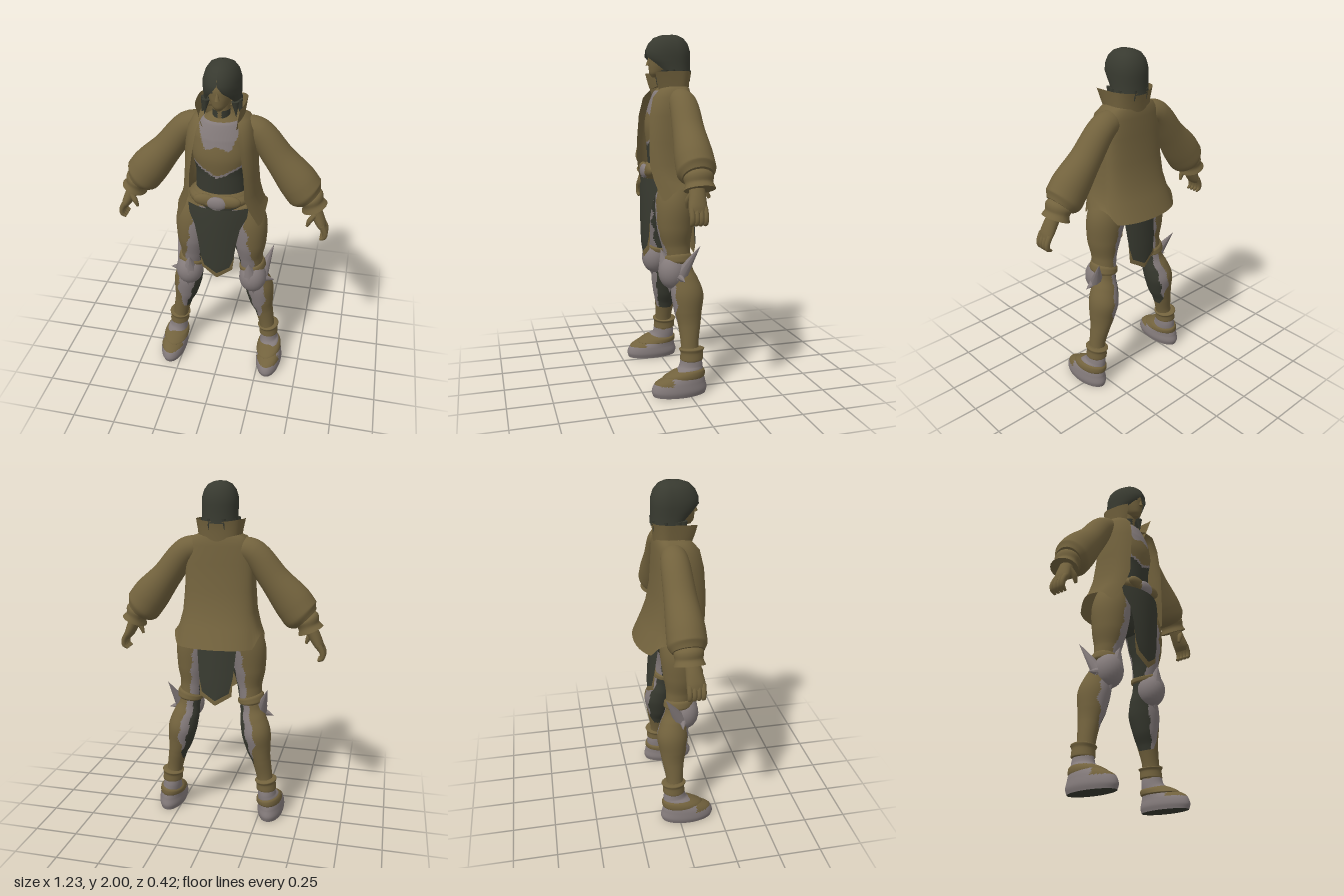
import * as THREE from 'three';

const mat = (name, color, side = THREE.FrontSide) =>
  Object.assign(new THREE.MeshStandardMaterial({ color, side }), { name });

export function createModel() {
  const root = new THREE.Group();
  const brown = mat('olive brown', 0x72623d, THREE.DoubleSide);
  const dark = mat('charcoal', 0x383a30, THREE.DoubleSide);
  const grey = mat('warm grey', 0x847b7b);

  const add = (name, geo, material, parent = root) => {
    const m = new THREE.Mesh(geo, material);
    m.name = name;
    parent.add(m);
    return m;
  };

  // Mesh from a point list and faces sorted by material
  const build = (name, points, faces, parent) => {
    const geo = new THREE.BufferGeometry().setFromPoints(points);
    const mats = [...new Set(faces.map(f => f.m))], index = [];
    mats.forEach((m, k) => {
      const start = index.length;
      faces.forEach(f => { if (f.m === m) index.push(...f.i); });
      geo.addGroup(start, index.length - start, k);
    });
    geo.setIndex(index);
    geo.computeVertexNormals();
    return add(name, geo, mats.length > 1 ? mats : mats[0], parent);
  };

  // Smooth limb through sections [x, y, z, radius across, radius in z];
  // paint(point, unit direction from the axis) may pick a material per face
  const sweep = (name, sections, material, { n = 20, steps = 4, paint, parent, ends = [material, material] } = {}) => {
    const path = new THREE.CatmullRomCurve3(sections.map(s => new THREE.Vector3(s[0], s[1], s[2])));
    const radii = new THREE.CatmullRomCurve3(sections.map(s => new THREE.Vector3(s[3], s[4], 0)));
    const rows = (sections.length - 1) * steps, Z = new THREE.Vector3(0, 0, 1);
    const pts = [], faces = [], centres = [];
    for (let j = 0; j <= rows; j++) {
      const c = path.getPoint(j / rows), r = radii.getPoint(j / rows);
      const U = path.getTangent(j / rows).cross(Z).normalize();
      centres.push(c);
      for (let i = 0; i < n; i++) {
        const a = i / n * Math.PI * 2;
        pts.push(c.clone().addScaledVector(U, Math.cos(a) * Math.max(r.x, 0.001))
          .addScaledVector(Z, Math.sin(a) * Math.max(r.y, 0.001)));
      }
    }
    for (let j = 0; j < rows; j++) for (let i = 0; i < n; i++) {
      const k = (i + 1) % n, a = j * n + i, b = a + n, c = j * n + k, d = c + n;
      for (const t of [[a, b, c], [c, b, d]]) {
        const p = pts[t[0]].clone().add(pts[t[1]]).add(pts[t[2]]).divideScalar(3);
        const dir = p.clone().sub(centres[j]).setY(0).normalize();
        faces.push({ i: t, m: paint ? paint(p, dir) : material });
      }
    }
    [0, rows].forEach((j, e) => {
      const hub = pts.length + n;
      const ring = pts.slice(j * n, j * n + n).map(p => p.clone());
      pts.push(...ring, centres[j].clone());
      for (let i = 0; i < n; i++) {
        const a = hub - n + i, b = hub - n + (i + 1) % n;
        faces.push({ i: e ? [hub, b, a] : [hub, a, b], m: ends[e] });
      }
    });
    return build(name, pts, faces, parent);
  };

  // Sheet of rows of points
  const sheet = (name, rows, material) => {
    const w = rows[0].length, faces = [];
    for (let j = 1; j < rows.length; j++) for (let i = 1; i < w; i++) {
      const d = j * w + i, b = d - w;
      faces.push({ i: [b - 1, b, d - 1], m: material }, { i: [b, d, d - 1], m: material });
    }
    return build(name, rows.flat(), faces);
  };

  // Sheet wrapped round the back and open in front;
  // rows [y, half width, front depth, back depth, half opening, lift(angle)]
  const shell = (name, rows, material, power, n = 40) =>
    sheet(name, rows.map(([y, w, front, back, open, lift]) => {
      const edge = Math.PI - Math.asin(Math.min(1, open / w));
      return Array.from({ length: n + 1 }, (_, i) => {
        const a = (i / n * 2 - 1) * edge, c = Math.cos(a);
        const z = c > 0 ? -back * c ** power : front * (-c) ** power;
        return new THREE.Vector3(w * Math.sin(a), y + (lift ? lift(a) : 0), z);
      });
    }), material);

  // Hanging cloth bowed round the body, rows [half width, y, z]
  const panel = (name, rows, material, offset) =>
    sheet(name, rows.map(([w, y, z]) => Array.from({ length: 9 }, (_, i) => {
      const x = (i / 4 - 1) * w * (z > 0 ? 1 : -1);
      return new THREE.Vector3(x, y, z + offset - Math.sign(z) * x * x * 2);
    })), material);

  const ball = (name, material, pos, scale, parent) => {
    const m = add(name, new THREE.SphereGeometry(1, 24, 16), material, parent);
    m.position.set(...pos);
    m.scale.set(...scale);
    return m;
  };
  const spike = (name, material, from, to, r, parent) => {
    const a = new THREE.Vector3(...from), d = new THREE.Vector3(...to).sub(a);
    const m = add(name, new THREE.ConeGeometry(r, d.length(), 8), material, parent);
    m.quaternion.setFromUnitVectors(new THREE.Vector3(0, 1, 0), d.clone().normalize());
    m.position.copy(a).addScaledVector(d, 0.5);
    return m;
  };

  // Torso with painted bib and dark waist
  sweep('torso', [[0, 1.1, .02, .15, .1], [0, 1.25, .03, .145, .11], [0, 1.38, .04, .14, .11],
    [0, 1.5, .045, .16, .115], [0, 1.6, .035, .155, .105], [0, 1.68, .025, .11, .085], [0, 1.72, .02, .05, .05]], brown, {
    n: 72, steps: 12,
    paint: p => {
      const x = Math.abs(p.x), waist = 1.38 + x * .5;
      if (p.y < waist) return dark;
      if (p.y < waist + .015) return grey;
      const low = 1.57 - Math.min(x, .06) * .4 + Math.max(0, x - .07) * 2.5;
      return p.z > 0 && p.y > low && p.y < 1.69 && x < .12 ? grey : brown;
    } });
  sweep('pelvis', [[0, 1.2, .01, .16, .11], [0, 1.08, .01, .15, .105], [0, 1.0, .01, .08, .08], [0, .97, .01, .03, .04]], dark);
  sweep('neck', [[0, 1.64, .03, .06, .06], [0, 1.71, .035, .048, .05], [0, 1.82, .035, .048, .055]], brown, {
    n: 40, steps: 8, paint: p => p.z > .03 && p.y < 1.75 && Math.abs(p.x) > .012 ? dark : brown });

  // Belt and buckle
  sweep('belt', [[0, 1.19, .03, .15, .12], [0, 1.205, .035, .163, .132], [0, 1.26, .035, .163, .132], [0, 1.28, .03, .15, .12]], brown, { n: 32 });
  ball('buckle', grey, [0, 1.235, .17], [.058, .04, .022]);
  spike('buckleTip', grey, [0, 1.225, .175], [0, 1.165, .18], .04).scale.z = .3;
  for (const s of [-1, 1]) ball('buckleWing', brown, [s * .07, 1.245, .155], [.065, .036, .025]);

  // Hanging cloth panels, front and back
  panel('frontPanelTrim', [[.1, 1.19, .178], [.1, .87, .182], [.09, .79, .18], [.004, .73, .176]], brown, 0);
  panel('frontPanel', [[.172, 1.2, .18], [.165, 1.14, .184], [.13, 1.07, .185], [.112, .98, .185], [.097, .87, .182], [.075, .81, .18], [.004, .765, .177]], dark, .004);
  panel('backPanelTrim', [[.1, 1.19, -.095], [.1, .98, -.115], [.095, .79, -.128], [.004, .735, -.132]], brown, 0);
  panel('backPanel', [[.13, 1.2, -.095], [.115, 1.06, -.108], [.1, .9, -.122], [.08, .81, -.127], [.004, .765, -.13]], dark, -.004);

  // Open coat and raised collar
  shell('coat', [[1.72, .1, .08, .07, .085], [1.70, .15, .12, .083, .1], [1.65, .18, .17, .09, .115], [1.55, .195, .2, .095, .13],
    [1.4, .2, .225, .105, .15], [1.28, .21, .22, .13, .155], [1.2, .23, .21, .16, .18],
    [1.09, .255, .2, .21, .228, a => .07 * Math.max(0, 1 - (2.5 * (Math.cos(a) - .1)) ** 2)]], brown, .6);
  shell('collar', [[1.65, .115, .13, .085, .09], [1.73, .122, .19, .088, .105],
    [1.775, .132, .23, .1, .118, a => .01 * Math.cos(a) + .02 * Math.sin(a) ** 2]], brown, .7);

  // Head, nose and eyes
  sweep('head', [[0, 1.762, .1, .015, .02], [0, 1.785, .08, .042, .055], [0, 1.83, .05, .064, .09], [0, 1.88, .04, .074, .1],
    [0, 1.93, .03, .07, .095], [0, 1.975, .03, .035, .05]], brown, { n: 28 });
  spike('nose', brown, [0, 1.828, .143], [0, 1.885, .135], .014);
  for (const s of [-1, 1]) ball('eye', dark, [s * .028, 1.868, .131], [.015, .006, .004]);

  // Bobbed hair with parted fringe and thin locks
  shell('hair', [[2, .004, .01, .005, 0], [1.995, .035, .07, .03, 0], [1.98, .065, .11, .06, 0], [1.95, .087, .14, .085, 0],
    [1.91, .099, .158, .098, .001], [1.875, .1, .162, .1, .028], [1.84, .1, .135, .1, .055], [1.8, .1, .1, .1, .075],
    [1.775, .104, .08, .103, .088]], dark, .9);
  for (const s of [-1, 1]) {
    [[.078, .065, .085, 1.715, .022], [.09, .03, .108, 1.7, .022], [.088, -.03, .095, 1.735, .014], [.04, -.085, .045, 1.74, .014]]
      .forEach(([x, z, tx, ty, r]) => spike('hairLock', dark, [s * x, 1.8, z], [s * tx, ty, z * 1.05], r));
  }

  for (const s of [-1, 1]) {
    const side = new THREE.Group();
    side.name = s > 0 ? 'leftLimbs' : 'rightLimbs';
    root.add(side);
    const limb = (name, rows, m, opt = {}) =>
      sweep(name, rows.map(([x, ...r]) => [s * x, ...r]), m, { parent: side, ...opt });
    const at = (x, y, z) => [s * x, y, z];

    // Puffed sleeve and flared cuff
    limb('sleeve', [[.08, 1.63, 0, .05, .05], [.14, 1.63, -.003, .07, .07], [.2, 1.608, -.005, .076, .078], [.315, 1.465, 0, .087, .088],
      [.42, 1.34, .005, .11, .103], [.465, 1.28, .005, .11, .105], [.495, 1.25, .005, .08, .085]], brown, { n: 28, steps: 5 });
    limb('cuff', [[.488, 1.265, .005, .06, .065], [.5, 1.245, .005, .072, .08], [.512, 1.215, .005, .062, .075], [.525, 1.185, .005, .075, .085]], brown);

    // Hand with curled fingers
    limb('palm', [[.515, 1.21, .02, .035, .04], [.545, 1.15, .025, .034, .045], [.57, 1.1, .03, .028, .05], [.585, 1.07, .03, .018, .045]], brown);
    for (let f = 0; f < 4; f++) {
      const z = -.006 + f * .024;
      limb('finger', [[.575, 1.1, z, .017, .016], [.597, 1.055, z, .016, .015], [.595, 1.025, z, .014, .013], [.572, 1.01, z, .007, .007]], brown, { n: 8, steps: 3 });
    }
    limb('thumb', [[.54, 1.17, .05, .016, .018], [.51, 1.13, .065, .016, .016], [.495, 1.09, .065, .008, .009]], brown, { n: 8 });

    // Trouser leg with grey and dark inner patches
    limb('leg', [[.11, 1.18, .02, .1, .1], [.15, 1.06, .03, .115, .11], [.17, .92, .035, .095, .1], [.175, .82, .03, .072, .08],
      [.19, .7, .01, .065, .07], [.205, .63, -.01, .078, .08], [.226, .55, -.022, .086, .092], [.243, .45, -.022, .073, .078],
      [.26, .38, -.024, .056, .064], [.282, .27, -.02, .047, .05], [.295, .17, -.02, .045, .05]], brown, {
      n: 56, steps: 10,
      paint: (p, d) => {
        const nx = d.x * s + .06 * Math.sin(p.y * 60), y = p.y;
        if (y > .72) {
          const limit = d.z > 0 ? .1 + Math.max(0, .92 - y) * 2.5 : -.1;
          return nx < -.75 ? dark : nx < limit ? grey : brown;
        }
        if (y < .34) return brown;
        const limit = (d.z > 0 ? .5 : 0) - Math.max(0, .5 - y) * 5;
        return nx > limit ? brown : nx < -.55 ? dark : grey;
      } });

    // Knee guard with spikes
    ball('kneeGuard', grey, at(.195, .68, .055), [.082, .1, .082], side);
    spike('kneePeak', grey, at(.186, .7, .085), at(.178, .81, .12), .055, side);
    limb('kneeBand', [[.18, .77, .02, .065, .075], [.183, .76, .022, .078, .085], [.188, .735, .02, .08, .088], [.19, .722, .015, .065, .07]], brown);
    spike('kneeSpike', grey, at(.235, .65, .03), at(.3, .84, -.075), .046, side);
    spike('kneeSpike', grey, at(.22, .67, .04), at(.325, .645, .02), .04, side);
    spike('kneeSpike', grey, at(.2, .65, .07), at(.205, .56, .075), .045, side);

    // Boot, strap and ankle cuff
    limb('boot', [[.315, 0, .05, .072, .152], [.315, .03, .05, .08, .16], [.314, .075, .045, .076, .145], [.308, .115, .01, .066, .1],
      [.3, .15, -.02, .055, .07], [.297, .22, -.022, .046, .055]], grey, {
      n: 40, steps: 8, ends: [dark, grey], paint: p => p.y > .07 && p.y < .13 && p.z > .1 ? brown : grey });
    limb('bootStrap', [[.308, .085, .02, .06, .1], [.308, .1, .022, .077, .122], [.304, .128, -.002, .07, .098], [.302, .142, -.012, .05, .072]], brown, { n: 28 });
    limb('ankleCuff', [[.296, .185, -.025, .045, .05], [.296, .192, -.027, .06, .066], [.294, .23, -.028, .058, .064], [.292, .25, -.028, .066, .073], [.291, .257, -.026, .05, .052]], brown);
  }
  return root;
}
